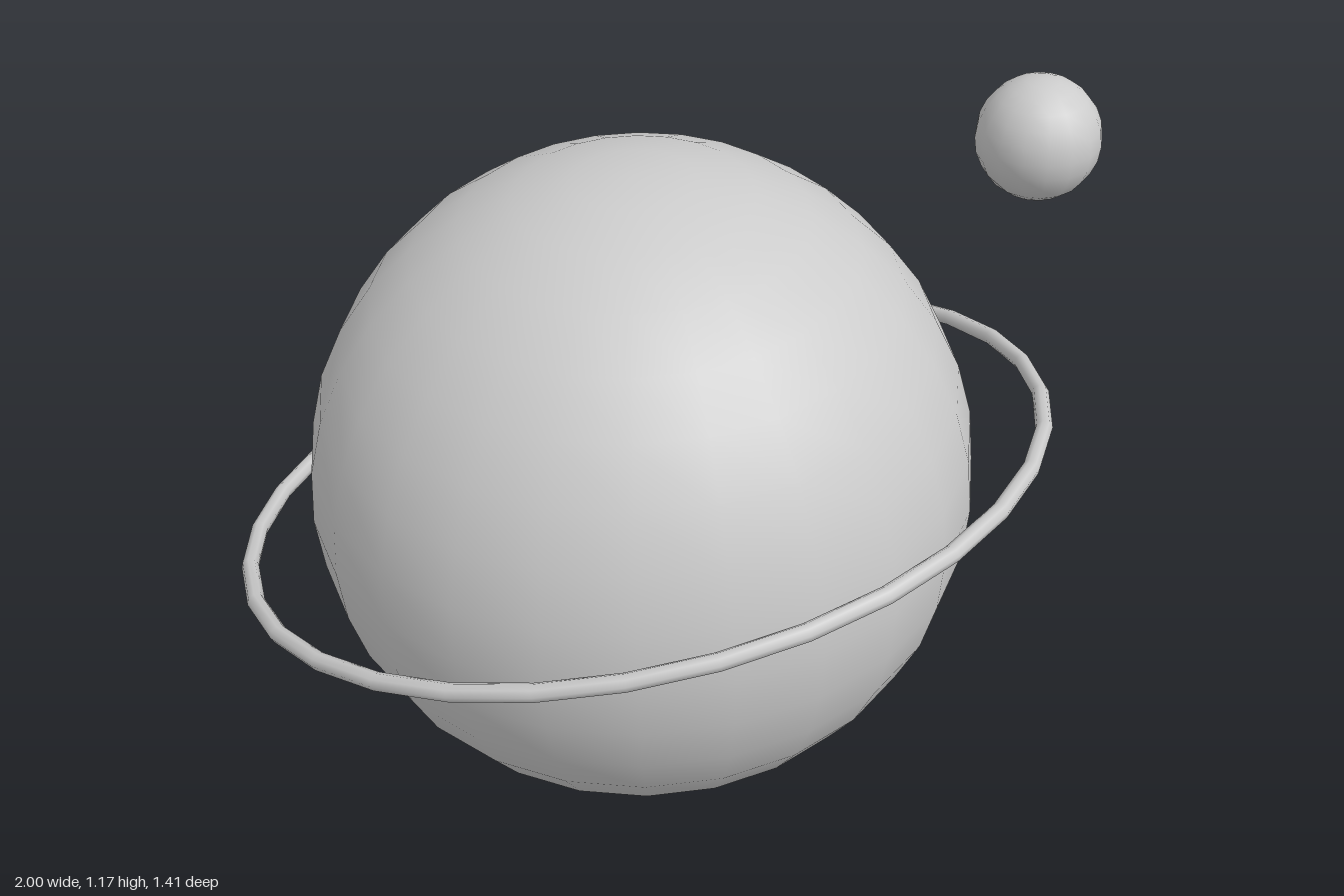
import * as THREE from 'three';

export function createModel() {
  const group = new THREE.Group();
  const material = new THREE.MeshStandardMaterial({ color: 0xcccccc });

  const add = (name, geometry, x, y) => {
    const mesh = new THREE.Mesh(geometry, material);
    mesh.name = name;
    mesh.position.set(x, y, 0);
    group.add(mesh);
    return mesh;
  };

  // Large planet resting on the ground plane
  add('planet', new THREE.SphereGeometry(0.586, 24, 18), -0.272, 0.588);

  // Thin ring around the planet, its front edge tipped up by 15 degrees
  const ring = add('ring', new THREE.TorusGeometry(0.713, 0.015, 8, 32), -0.272, 0.59);
  ring.rotation.x = THREE.MathUtils.degToRad(75);

  // Small moon off to the planet's left
  add('moon', new THREE.SphereGeometry(0.132, 16, 12), 0.867, 0.802);

  return group;
}
